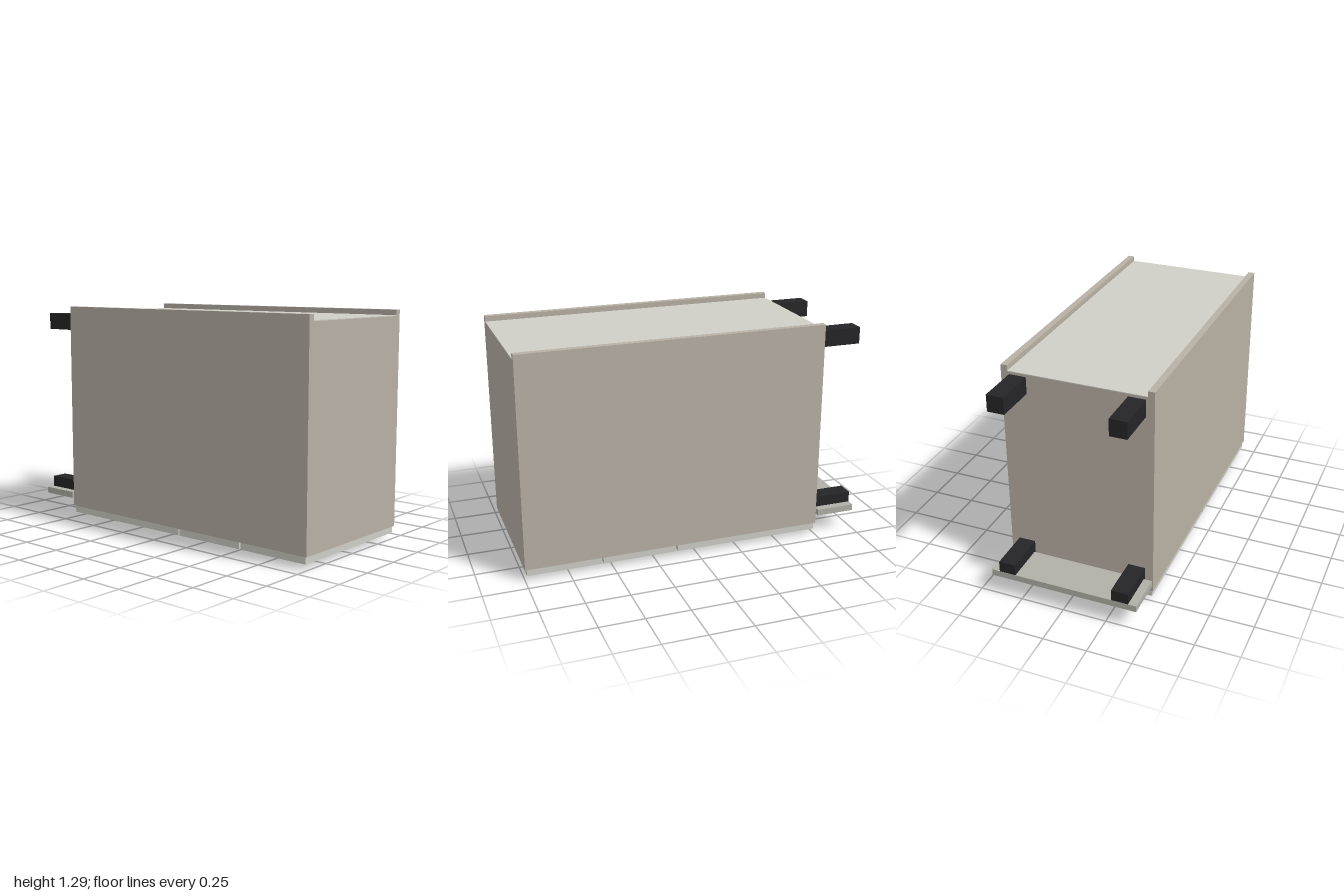
import * as THREE from 'three';

const material = (color) => new THREE.MeshStandardMaterial({ color });

export function createModel() {
  const model = new THREE.Group();
  const body = material(0xb8b0a4);
  const pale = material(0xcfcfc8);
  const plinth = material(0xb0b0a8);
  const dark = material(0x252527);
  const metal = material(0x808084);

  // Box given by its lower and upper limits on each axis
  function box(name, mat, [x0, x1], [y0, y1], [z0, z1]) {
    const mesh = new THREE.Mesh(new THREE.BoxGeometry(x1 - x0, y1 - y0, z1 - z0), mat);
    mesh.position.set((x0 + x1) / 2, (y0 + y1) / 2, (z0 + z1) / 2);
    mesh.name = name;
    model.add(mesh);
  }

  // Carcass lying on its drawer fronts: sides, end panels, recessed back panel
  box('rightSide', body, [-0.425, -0.388], [0.07, 1.29], [-0.755, 1]);
  box('leftSide', body, [0.388, 0.425], [0.07, 1.29], [-0.755, 1]);
  box('topPanel', body, [-0.388, 0.388], [0.07, 1.255], [0.963, 1]);
  box('bottomPanel', body, [-0.388, 0.388], [0.07, 1.255], [-0.755, -0.718]);
  box('backPanel', pale, [-0.388, 0.388], [1.255, 1.26], [-0.755, 1]);

  // Three drawer fronts with bar handles, facing down
  const drawers = [
    { z: [0.565, 0.99], handle: 0.777 },
    { z: [0.125, 0.555], handle: 0.345 },
    { z: [-0.745, 0.115], handle: -0.06 },
  ];
  drawers.forEach(({ z, handle }, i) => {
    box(`drawerFront${i + 1}`, pale, [-0.418, 0.418], [0.03, 0.07], z);
    box(`handle${i + 1}`, metal, [-0.118, 0.118], [0, 0.03], [handle - 0.014, handle + 0.014]);
  });

  // Four square feet on the end
  for (const x of [-0.33, 0.33]) {
    for (const y of [0.168, 1.194]) {
      box('foot', dark, [x - 0.048, x + 0.048], [y - 0.048, y + 0.048], [-0.999, -0.755]);
    }
  }

  // Plinth board clipped to the lower pair of feet
  box('plinthBoard', plinth, [-0.425, 0.425], [0.115, 0.152], [-1, -0.77]);

  return model;
}
